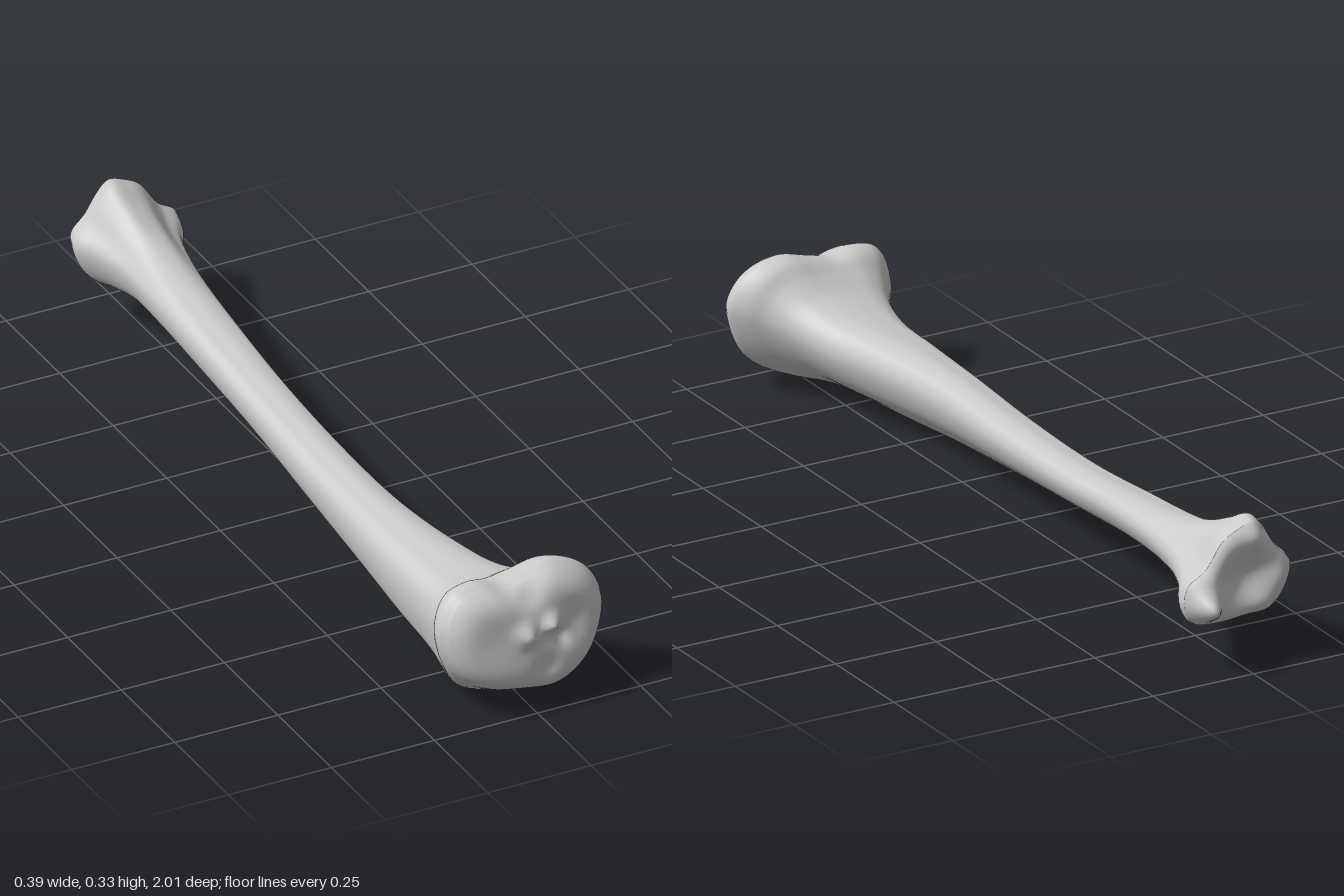
import * as THREE from 'three';

// Key outlines (x, y), counter-clockwise, 14 matching points each
const OUTLINES = [
  // plateau: two condyles with a notch behind
  [.195, .2, .185, .25, .15, .29, .08, .313, .01, .298, -.04, .288, -.1, .299, -.16, .285, -.195, .22, -.175, .13, -.12, .075, -.02, .05, .07, .045, .15, .095],
  // tuberosity: keel pointing down
  [.115, .17, .11, .21, .08, .24, .04, .25, 0, .25, -.05, .245, -.1, .235, -.13, .215, -.145, .16, -.135, .08, -.11, .02, -.07, .003, -.02, .03, .07, .09],
  // shaft: rounded triangle
  [.015, .15, .014, .17, .005, .185, -.015, .193, -.035, .195, -.055, .192, -.075, .187, -.09, .172, -.095, .15, -.09, .115, -.075, .085, -.055, .07, -.03, .085, 0, .115],
  // far joint: side knob and raised back lip
  [.14, .165, .13, .21, .085, .24, .04, .3, 0, .322, -.04, .332, -.07, .305, -.1, .26, -.135, .22, -.12, .16, -.08, .12, -.02, .115, .05, .11, .115, .12],
].map(normalise);

// Stations: z, xMin, xMax, yMin, yMax, outline index (fractions blend), tilt
const STATIONS = [
  [.95, -.185, .185, .05, .305, 0, -.2],
  [.92, -.197, .194, .035, .314, 0, -.15],
  [.88, -.187, .175, .016, .305, .3, -.1],
  [.84, -.165, .14, .004, .275, .7, -.05],
  [.79, -.143, .11, .001, .243, 1, 0],
  [.7, -.127, .076, .009, .218, 1.2, 0],
  [.55, -.122, .04, .02, .21, 1.6, 0],
  [.35, -.113, .014, .04, .203, 2, 0],
  [.1, -.1, .013, .062, .195, 2, 0],
  [-.2, -.086, .02, .087, .2, 2, 0],
  [-.45, -.084, .03, .104, .22, 2, 0],
  [-.65, -.083, .048, .113, .243, 2.2, 0],
  [-.76, -.088, .068, .115, .27, 2.5, 0],
  [-.84, -.11, .095, .107, .303, 2.8, 0],
  [-.9, -.135, .128, .1, .331, 3, 0],
  [-.94, -.125, .138, .11, .327, 3, 0],
];

const AROUND = 84, STEPS = 6, CAP = 22;

// Bumps and hollows on the joint faces: x, y, radius, height
const KNEE_RELIEF = [
  [.115, .19, .055, -.016], [-.11, .19, .06, -.006], [.045, .205, .018, .024],
  [-.015, .19, .022, .02], [.07, .165, .014, -.014], [0, .28, .03, -.02], [.03, .1, .03, -.01],
];
const ANKLE_RELIEF = [
  [.105, .16, .036, -.075], [-.015, .2, .06, .035], [-.04, .3, .03, -.012], [-.1, .19, .03, -.012],
];

// Scale an outline to the unit square
function normalise(flat) {
  const xs = flat.filter((_, i) => i % 2 === 0), ys = flat.filter((_, i) => i % 2 === 1);
  const unit = (a) => {
    const lo = Math.min(...a), hi = Math.max(...a);
    return a.map((v) => (v - lo) / (hi - lo));
  };
  const u = unit(xs), v = unit(ys);
  return u.map((x, i) => [x, v[i]]);
}

// Control points of one station
function stationPoints([z, x0, x1, y0, y1, shape, tilt]) {
  const a = OUTLINES[Math.floor(shape)], b = OUTLINES[Math.ceil(shape)], f = shape % 1;
  return a.map(([u, v], i) => {
    const x = x0 + (x1 - x0) * (u + (b[i][0] - u) * f);
    const y = y0 + (y1 - y0) * (v + (b[i][1] - v) * f);
    return new THREE.Vector3(x, y, z + tilt * (y - .17));
  });
}

// Joint face: rings from the rim to the centre, domed and sculpted
function capRings(rim, cx, cy, z, tilt, bulge, relief) {
  const rings = [];
  for (let k = 1; k <= CAP; k++) {
    const t = Math.max(Math.cos((k / CAP) * Math.PI / 2), .002);
    rings.push(rim.map((p) => {
      const x = cx + (p.x - cx) * t, y = cy + (p.y - cy) * t;
      let h = 0;
      for (const [bx, by, r, a] of relief) h += a * Math.exp(-((x - bx) ** 2 + (y - by) ** 2) / (r * r));
      return new THREE.Vector3(x, y, z + tilt * (y - .17) + bulge * (1 - t ** 6) + h * (1 - t ** 4));
    }));
  }
  return rings;
}

function boneGeometry() {
  // Smooth lengthwise curves through matching control points
  const stations = STATIONS.map(stationPoints);
  const rails = stations[0].map((_, i) => new THREE.CatmullRomCurve3(stations.map((s) => s[i])));
  const body = [];
  const count = (STATIONS.length - 1) * STEPS;
  for (let i = 0; i <= count; i++) {
    const loop = new THREE.CatmullRomCurve3(rails.map((r) => r.getPoint(i / count)), true);
    body.push(Array.from({ length: AROUND }, (_, j) => loop.getPoint(j / AROUND)));
  }
  const knee = capRings(body[0], 0, .18, .95, -.2, .038, KNEE_RELIEF).reverse();
  const ankle = capRings(body[count], 0, .2, -.94, 0, -.022, ANKLE_RELIEF);
  const rings = [...knee, ...body, ...ankle];

  const index = [];
  for (let i = 0; i < rings.length - 1; i++) {
    for (let j = 0; j < AROUND; j++) {
      const a = i * AROUND + j, b = i * AROUND + (j + 1) % AROUND;
      index.push(a, a + AROUND, b, b, a + AROUND, b + AROUND);
    }
  }
  const geometry = new THREE.BufferGeometry().setFromPoints(rings.flat());
  geometry.setIndex(index);
  geometry.computeVertexNormals();
  return geometry;
}

export function createModel() {
  const group = new THREE.Group();
  group.name = 'shinBone';
  const bone = new THREE.Mesh(boneGeometry(), new THREE.MeshStandardMaterial({ color: 0xcccccc }));
  bone.name = 'bone';
  group.add(bone);
  return group;
}
